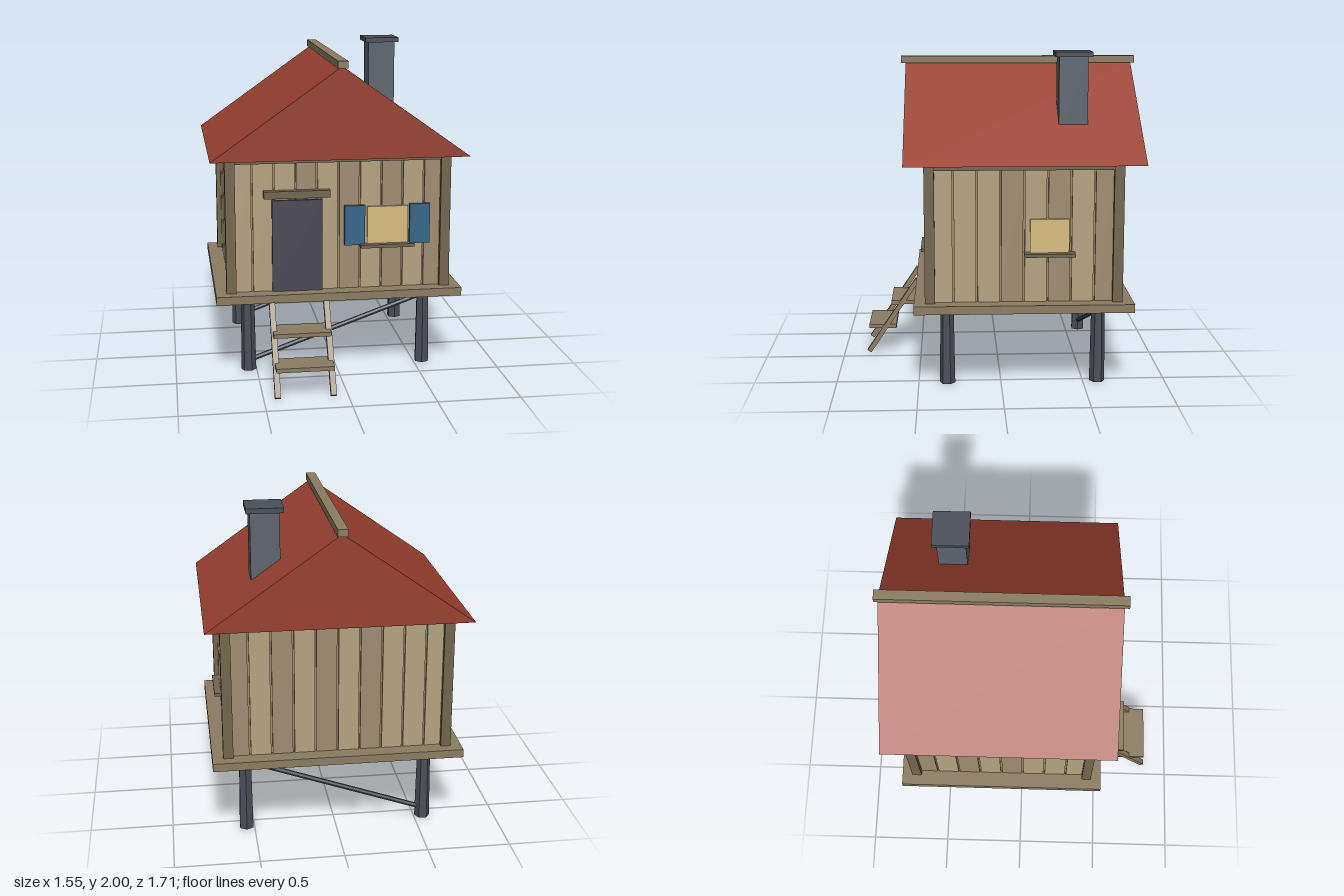
import * as THREE from 'three';

const mat = (color) => new THREE.MeshStandardMaterial({ color, flatShading: true });
const M = {
  plankLight: mat(0xb5a381), plankDark: mat(0xa08c72), core: mat(0x9a8a6c),
  timber: mat(0x8c7d63), post: mat(0x72664f), roof: mat(0x983f2f),
  stone: mat(0x5c646e), cap: mat(0x4a4f59), leg: mat(0x4a4e59),
  door: mat(0x4a4855), shutter: mat(0x35678a), glass: mat(0xd6bd80),
};

export function createModel() {
  const model = new THREE.Group();

  function add(name, geometry, material, parent = model) {
    const mesh = new THREE.Mesh(geometry, material);
    mesh.name = name;
    parent.add(mesh);
    return mesh;
  }
  // Box given by its [min, max] range on each axis
  function box(name, material, [x0, x1], [y0, y1], [z0, z1], parent) {
    const mesh = add(name, new THREE.BoxGeometry(x1 - x0, y1 - y0, z1 - z0), material, parent);
    mesh.position.set((x0 + x1) / 2, (y0 + y1) / 2, (z0 + z1) / 2);
    return mesh;
  }
  function group(name) {
    const g = new THREE.Group();
    g.name = name;
    model.add(g);
    return g;
  }

  // Platform and wall core
  box('platform', M.timber, [-0.75, 0.75], [0.49, 0.54], [-0.78, 0.52]);
  box('wallCore', M.core, [-0.64, 0.64], [0.54, 1.37], [-0.67, 0.41]);

  // Vertical planks on all four walls
  const planks = group('planks');
  const plankMaterial = (i) => (i % 4 === 3 || i % 4 === 1 && i > 4 ? M.plankDark : M.plankLight);
  const gap = 0.005, wallY = [0.54, 1.36];
  for (let i = 0; i < 10; i++) {
    const x = [-0.655 + i * 0.131 + gap, -0.655 + (i + 1) * 0.131 - gap];
    box('frontPlank', plankMaterial(i), x, wallY, [0.405, 0.425], planks);
    box('backPlank', plankMaterial(i), x, wallY, [-0.685, -0.665], planks);
  }
  for (let i = 0; i < 8; i++) {
    const z = [0.425 - (i + 1) * 0.13875 + gap, 0.425 - i * 0.13875 - gap];
    box('leftPlank', plankMaterial(i), [0.635, 0.655], wallY, z, planks);
    box('rightPlank', plankMaterial(i), [-0.655, -0.635], wallY, z, planks);
  }

  // Corner posts and top beams
  const frame = group('wallFrame');
  for (const x of [[-0.685, -0.625], [0.625, 0.685]]) {
    for (const z of [[0.395, 0.455], [-0.715, -0.655]]) box('cornerPost', M.post, x, [0.54, 1.37], z, frame);
  }
  for (const z of [[0.4, 0.445], [-0.705, -0.66]]) box('topBeam', M.post, [-0.63, 0.63], [1.33, 1.37], z, frame);
  for (const x of [[-0.675, -0.63], [0.63, 0.675]]) box('topBeam', M.post, x, [1.33, 1.37], [-0.66, 0.4], frame);

  // Door
  box('door', M.door, [-0.405, -0.1], [0.54, 1.105], [0.41, 0.445]);
  box('doorLintel', M.post, [-0.455, -0.055], [1.12, 1.165], [0.41, 0.468]);

  // Front window with shutters, and side window
  const front = group('frontWindow');
  box('windowPane', M.glass, [0.175, 0.425], [0.82, 1.05], [0.41, 0.44], front);
  box('windowSill', M.post, [0.13, 0.46], [0.8, 0.82], [0.41, 0.48], front);
  for (const x of [[0.035, 0.16], [0.435, 0.56]]) {
    box('shutter', M.shutter, x, [0.815, 1.06], [0.415, 0.45], front);
  }
  const side = group('sideWindow');
  box('windowPane', M.glass, [0.64, 0.675], [0.84, 1.04], [-0.395, -0.165], side);
  box('windowSill', M.post, [0.64, 0.715], [0.82, 0.84], [-0.43, -0.13], side);

  // Roof prism and ridge beam
  const gable = new THREE.Shape([
    new THREE.Vector2(-0.775, 1.367), new THREE.Vector2(0.775, 1.367), new THREE.Vector2(0, 1.915),
  ]);
  const roof = new THREE.ExtrudeGeometry(gable, { depth: 1.405, bevelEnabled: false });
  roof.translate(0, 0, -0.833);
  add('roof', roof, M.roof);
  box('ridgeBeam', M.timber, [-0.03, 0.03], [1.905, 1.948], [-0.855, 0.6]);

  // Chimney
  box('chimney', M.stone, [0.313, 0.485], [1.5, 1.97], [-0.516, -0.344]);
  box('chimneyCap', M.cap, [0.29, 0.508], [1.97, 2], [-0.54, -0.322]);

  // Hexagonal stilts with a diagonal brace across each pair
  const stilts = group('stilts');
  for (const z of [0.325, -0.585]) {
    for (const x of [-0.55, 0.55]) {
      const leg = add('stilt', new THREE.CylinderGeometry(0.04, 0.047, 0.48, 6), M.leg, stilts);
      leg.position.set(x, 0.25, z);
      leg.rotation.y = 0.3 + x * 0.5 + z;
    }
    const a = new THREE.Vector3(-0.55, 0.065, z), b = new THREE.Vector3(0.55, 0.455, z);
    const brace = add('brace', new THREE.CylinderGeometry(0.015, 0.015, a.distanceTo(b), 6), M.leg, stilts);
    brace.position.copy(a).lerp(b, 0.5);
    brace.quaternion.setFromUnitVectors(new THREE.Vector3(0, 1, 0), b.sub(a).normalize());
  }

  // Ladder leaning on the platform's front edge
  const ladder = group('ladder');
  const run = 0.32, rise = 0.48;
  for (const x of [-0.418, -0.088]) {
    const rail = add('ladderRail', new THREE.BoxGeometry(0.035, Math.hypot(run, rise), 0.03), M.timber, ladder);
    rail.position.set(x, 0.25, 0.68);
    rail.rotation.x = -Math.atan2(run, rise);
  }
  box('tread', M.timber, [-0.425, -0.08], [0.325, 0.35], [0.51, 0.69], ladder);
  box('tread', M.timber, [-0.425, -0.08], [0.165, 0.19], [0.66, 0.838], ladder);

  return model;
}
